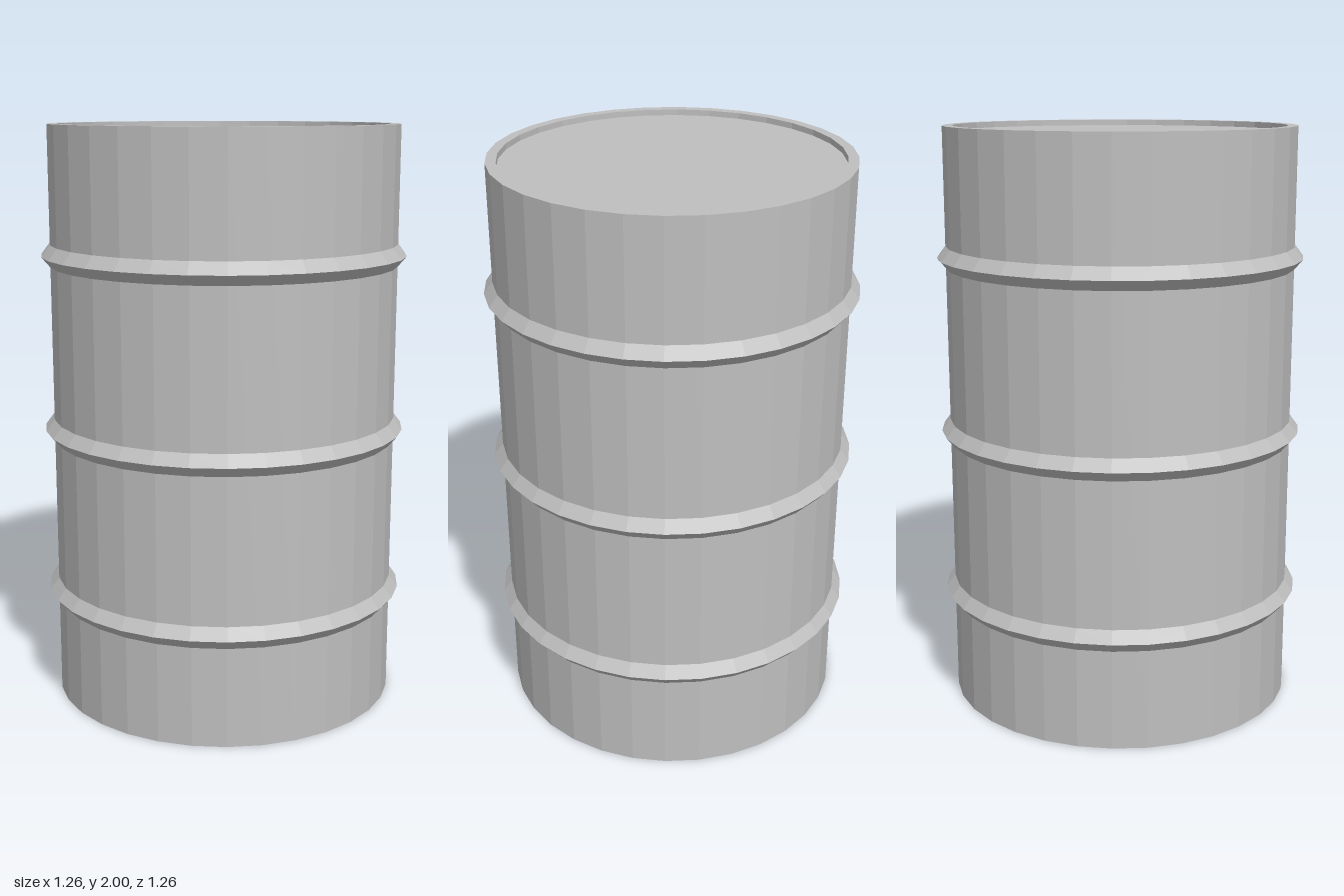
import * as THREE from 'three';

const SIDES = 32;
const RADIUS = 0.6;
const INNER = 0.565;
const LID_Y = 1.98;

export function createModel() {
  const drum = new THREE.Group();
  drum.name = 'drum';

  const steel = new THREE.MeshStandardMaterial({ color: 0xbfbfbf });
  steel.name = 'grey steel';

  const add = (name, geometry) => {
    const mesh = new THREE.Mesh(geometry, steel);
    mesh.name = name;
    drum.add(mesh);
    return mesh;
  };

  // Faceted ring surface turned from [radius, height] points
  const turned = (points) => {
    const profile = points.map(([r, y]) => new THREE.Vector2(r, y));
    const geometry = new THREE.LatheGeometry(profile, SIDES).toNonIndexed();
    geometry.computeVertexNormals();
    return geometry;
  };

  // Flat disc, turned to face up or down
  const disc = (radius, y, up) => {
    const geometry = new THREE.CircleGeometry(radius, SIDES);
    geometry.rotateX(up ? -Math.PI / 2 : Math.PI / 2);
    return geometry.translate(0, y, 0);
  };

  // Outer wall, folding over the rim and down to the sunken lid
  add('wallAndRim', turned([[RADIUS, 0], [RADIUS, 2], [INNER, 2], [INNER, LID_Y]]));
  add('lid', disc(INNER, LID_Y, true));
  add('base', disc(RADIUS, 0, false));

  // Pointed rolling hoops around the wall
  const hoop = turned([[RADIUS, -0.035], [0.63, 0], [RADIUS, 0.04]]);
  [['lowerHoop', 0.38], ['middleHoop', 0.957], ['upperHoop', 1.56]].forEach(([name, y]) => {
    add(name, hoop).position.y = y;
  });

  return drum;
}
